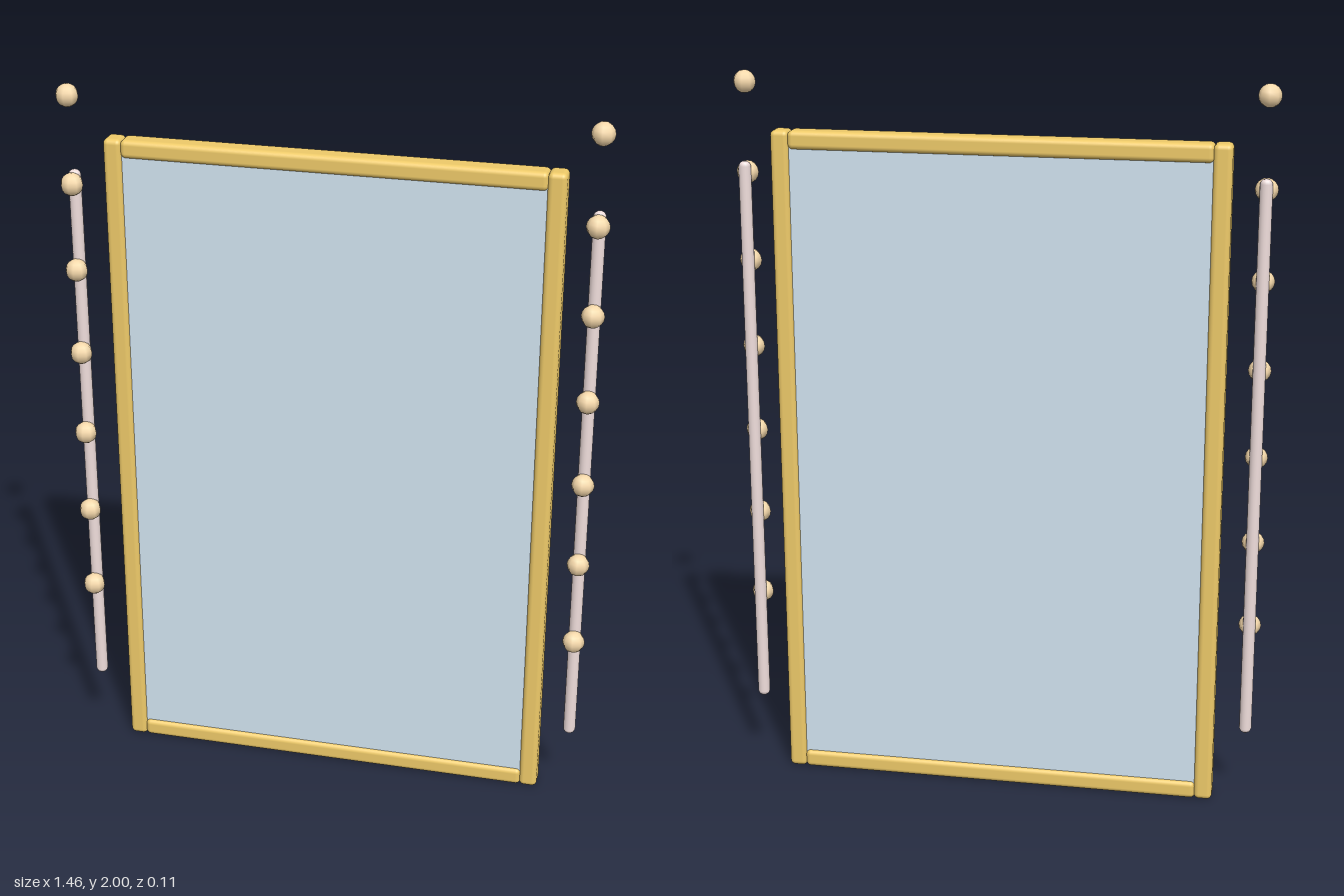
import * as THREE from 'three';
import { RoundedBoxGeometry } from 'three/addons/geometries/RoundedBoxGeometry.js';

export function createModel() {
  const model = new THREE.Group();
  const gold = new THREE.MeshStandardMaterial({ color: 0xeeca69 });
  const glass = new THREE.MeshStandardMaterial({ color: 0xd2e4f1 });
  const rodMat = new THREE.MeshStandardMaterial({ color: 0xf0dedc });
  const bulbMat = new THREE.MeshStandardMaterial({ color: 0xf6d9ab });

  const add = (name, geometry, material, x, y, z) => {
    const mesh = new THREE.Mesh(geometry, material);
    mesh.name = name;
    mesh.position.set(x, y, z);
    model.add(mesh);
  };

  // Frame: two full-height posts with two rails between them
  const height = 1.852, depth = 0.062, frameZ = -0.022;
  const post = new RoundedBoxGeometry(0.05, height, depth, 4, 0.014);
  const rail = new RoundedBoxGeometry(1.13, 0.05, depth, 4, 0.014);
  add('bottomRail', rail, gold, 0, 0.025, frameZ);
  add('topRail', rail, gold, 0, height - 0.025, frameZ);

  // Thick mirror pane, set just inside both faces of the frame
  add('mirrorPane', new THREE.BoxGeometry(1.14, height - 0.08, 0.042), glass, 0, height / 2, frameZ);

  // Light rod with softened ends
  const half = 0.78;
  const profile = [
    [0, -half], [0.008, -half], [0.0135, -half + 0.004], [0.017, -half + 0.012],
    [0.017, half - 0.012], [0.0135, half - 0.004], [0.008, half], [0, half],
  ].map(([r, y]) => new THREE.Vector2(r, y));
  const rod = new THREE.LatheGeometry(profile, 16);
  const bulb = new THREE.SphereGeometry(0.031, 8, 8);

  for (const [side, s] of [['left', 1], ['right', -1]]) {
    add(side + 'Post', post, gold, s * 0.587, height / 2, frameZ);
    add(side + 'LightRod', rod, rodMat, s * 0.697, 0.198 + half, -0.004);
    // Seven evenly spaced bulbs
    for (let i = 0; i < 7; i++) {
      add(side + 'Bulb' + (i + 1), bulb, bulbMat, s * 0.697, 0.511 + i * 0.243, 0.021);
    }
  }
  return model;
}
